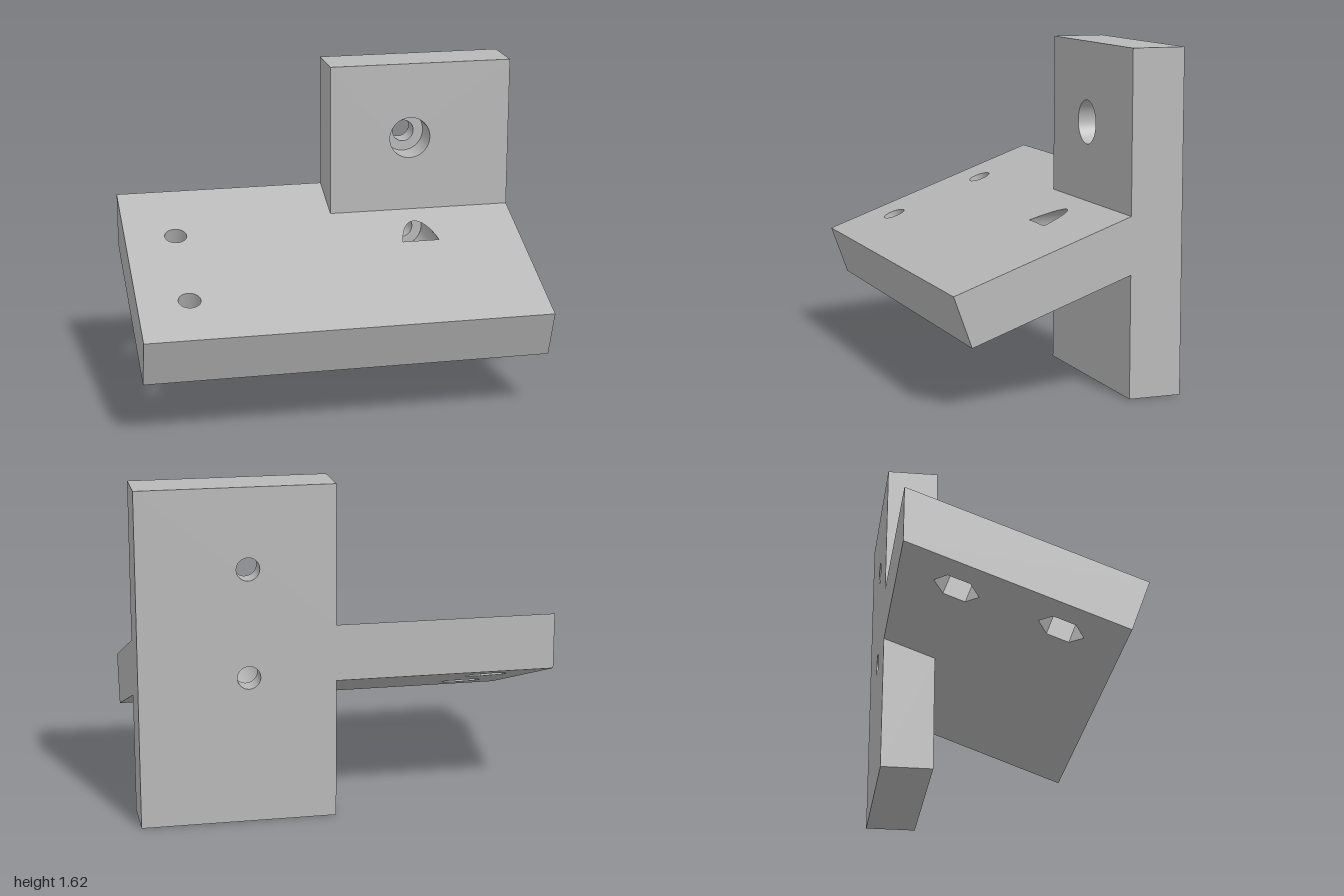
import * as THREE from 'three';

const V = (x, y, z) => new THREE.Vector3(x, y, z);
const X = V(1, 0, 0), Y = V(0, 1, 0), Z = V(0, 0, 1), NX = V(-1, 0, 0), NZ = V(0, 0, -1);

// Main dimensions
const T = 0.255, TILT = Math.PI / 9, C = Math.cos(TILT), S = Math.sin(TILT), K = S / C;
const BACK = -0.555, FACE = -0.3, TIP = 0.555, H = 1.615, XL = 0.065;
const MID = 0.742;                               // shelf top height at z = 0
const topY = z => MID - K * z, underY = z => topY(z) - T / C;
const DOWN = V(0, -S, C), UP = V(0, C, S);       // along and out of the sloping shelf
const HOLE = 0.055, BORE = 0.105, HEX = 0.11, HEXDEPTH = 0.11;
const HX = 0.48, HIGH = 1.23, LOW = 0.71;        // wall screw holes
const FLOOR = -0.45, POCKET = -0.045;            // counterbore floor and pocket end, in z
const SHELFX = -0.745, SHELFS = [-0.2 / C, 0.28 / C];

export function createModel() {
  const model = new THREE.Group();
  const plate = new THREE.Group(), shelf = new THREE.Group();
  plate.name = 'wallPlate';
  shelf.name = 'slopingShelf';
  model.add(plate, shelf);
  const grey = new THREE.MeshStandardMaterial({ color: 0xb8b8b8, side: THREE.DoubleSide });
  grey.name = 'grey';

  const add = (group, name, geometry) => {
    const mesh = new THREE.Mesh(geometry, grey);
    mesh.name = name;
    group.add(mesh);
    return mesh;
  };
  const shapePts = pts => pts.map(p => new THREE.Vector2(p[0], p[1]));
  const ngon = (cx, cy, r, n = 48) => Array.from({ length: n }, (_, i) => {
    const a = i / n * Math.PI * 2;
    return [cx + r * Math.sin(a), cy + r * Math.cos(a)];
  });
  // Flat face spanned by directions u and v, facing u x v
  const panel = (group, name, origin, u, v, outline, holes = []) => {
    const shape = new THREE.Shape(shapePts(outline));
    holes.forEach(h => shape.holes.push(new THREE.Path(shapePts(h))));
    const m = new THREE.Matrix4().makeBasis(u, v, u.clone().cross(v)).setPosition(origin);
    return add(group, name, new THREE.ShapeGeometry(shape).applyMatrix4(m));
  };
  // Face across x, with points given as (z, y)
  const side = (group, name, x, sign, pts) => panel(group, name, V(x, 0, 0), sign > 0 ? NZ : Z, Y,
    pts.map(([z, y]) => [-sign * z, y]));
  // Inner wall of a hole running from a to b
  const bore = (group, name, a, b, r, n = 48) => {
    let g = new THREE.CylinderGeometry(r, r, a.distanceTo(b), n, 1, true);
    if (n < 10) {
      g = g.toNonIndexed();
      g.computeVertexNormals();
    }
    const mesh = add(group, name, g);
    mesh.position.copy(a).lerp(b, 0.5);
    mesh.quaternion.setFromUnitVectors(Y, b.clone().sub(a).normalize());
    return mesh;
  };
  const rect = (a, b, c, d) => [[a, b], [c, b], [c, d], [a, d]];

  // Lower tip of the shelf
  const tip = [[TIP, topY(TIP)], [TIP - T * S, topY(TIP) - T * C]];

  // Shared flush faces: right end and back
  side(plate, 'flushEnd', 1, 1, [[BACK, 0], [FACE, 0], [FACE, underY(FACE)], tip[1], tip[0],
    [FACE, topY(FACE)], [FACE, H], [BACK, H]]);
  panel(plate, 'flushBack', V(0, 0, BACK), NX, Y,
    [[-1, 0], [-XL, 0], [-XL, underY(BACK)], [1, underY(BACK)], [1, topY(BACK)],
      [-XL, topY(BACK)], [-XL, H], [-1, H]],
    [HIGH, LOW].map(y => ngon(-HX, y, HOLE)));

  // Wall plate
  panel(plate, 'plateTop', V(0, H, 0), Z, X, rect(BACK, XL, FACE, 1));
  panel(plate, 'plateBottom', V(0, 0, 0), X, Z, rect(XL, BACK, 1, FACE));
  panel(plate, 'upperFront', V(0, 0, FACE), X, Y, rect(XL, topY(FACE), 1, H), [ngon(HX, HIGH, BORE)]);
  panel(plate, 'lowerFront', V(0, 0, FACE), X, Y, rect(XL, 0, 1, underY(FACE)));
  side(plate, 'upperSide', XL, -1, [[BACK, topY(BACK)], [FACE, topY(FACE)], [FACE, H], [BACK, H]]);
  side(plate, 'lowerSide', XL, -1, [[BACK, 0], [FACE, 0], [FACE, underY(FACE)], [BACK, underY(BACK)]]);

  // Screw holes with counterbores
  for (const y of [HIGH, LOW]) {
    bore(plate, 'screwHole', V(HX, y, BACK), V(HX, y, FLOOR), HOLE);
    panel(plate, 'counterboreFloor', V(0, 0, FLOOR), X, Y, ngon(HX, y, BORE), [ngon(HX, y, HOLE)]);
  }
  bore(plate, 'counterbore', V(HX, HIGH, FLOOR), V(HX, HIGH, FACE), BORE);

  // Lower counterbore breaks out through the shelf, so its end is trimmed to the slope
  const trimmed = new THREE.CylinderGeometry(BORE, BORE, 1, 96, 1, true).rotateX(Math.PI / 2);
  const p = trimmed.attributes.position;
  for (let i = 0; i < p.count; i++) {
    const y = LOW + p.getY(i);
    p.setXYZ(i, HX + p.getX(i), y, p.getZ(i) < 0 ? FLOOR : Math.min(POCKET, (MID - y) / K));
  }
  add(shelf, 'screwPocketWall', trimmed);
  const a0 = Math.asin((topY(POCKET) - LOW) / BORE);
  const arc = (from, to, f) => Array.from({ length: 41 }, (_, i) => {
    const a = from + (to - from) * i / 40;
    return f(HX + BORE * Math.cos(a), LOW + BORE * Math.sin(a));
  });
  panel(shelf, 'screwPocketEnd', V(0, 0, POCKET), NX, Y,
    arc(Math.PI - a0, Math.PI * 2 + a0, (x, y) => [-x, y]));
  const opening = arc(a0, Math.PI - a0, (x, y) => [(MID - y) / K / C, x]);

  // Shelf skin, in distance along the slope
  const topO = V(0, MID, 0), underO = topO.clone().addScaledVector(UP, -T);
  const topS = z => z / C, underS = z => (z + T * S) / C;
  panel(shelf, 'shelfTop', topO, DOWN, X,
    [[topS(BACK), -1], [topS(TIP), -1], [topS(TIP), 1], [topS(FACE), 1], [topS(FACE), XL], [topS(BACK), XL]],
    [opening, ...SHELFS.map(s => ngon(s, SHELFX, HOLE))]);
  panel(shelf, 'shelfUnderside', underO, X, DOWN,
    [[-1, underS(BACK)], [XL, underS(BACK)], [XL, underS(FACE)], [1, underS(FACE)], [1, topS(TIP)], [-1, topS(TIP)]],
    SHELFS.map(s => ngon(SHELFX, s, HEX, 6)));
  panel(shelf, 'shelfFrontEdge', V(0, ...tip[0].slice().reverse()), X, UP, rect(-1, -T, 1, 0));
  side(shelf, 'shelfEnd', -1, -1, [[BACK, underY(BACK)], tip[1], tip[0], [BACK, topY(BACK)]]);

  // Bolt holes with hexagonal nut pockets beneath
  const floorO = underO.clone().addScaledVector(UP, HEXDEPTH);
  for (const s of SHELFS) {
    const at = o => o.clone().addScaledVector(DOWN, s).setX(SHELFX);
    bore(shelf, 'boltHole', at(floorO), at(topO), HOLE);
    bore(shelf, 'nutPocket', at(underO), at(floorO), HEX, 6);
    panel(shelf, 'nutPocketFloor', floorO, X, DOWN, ngon(SHELFX, s, HEX, 6), [ngon(SHELFX, s, HOLE)]);
  }
  return model;
}
